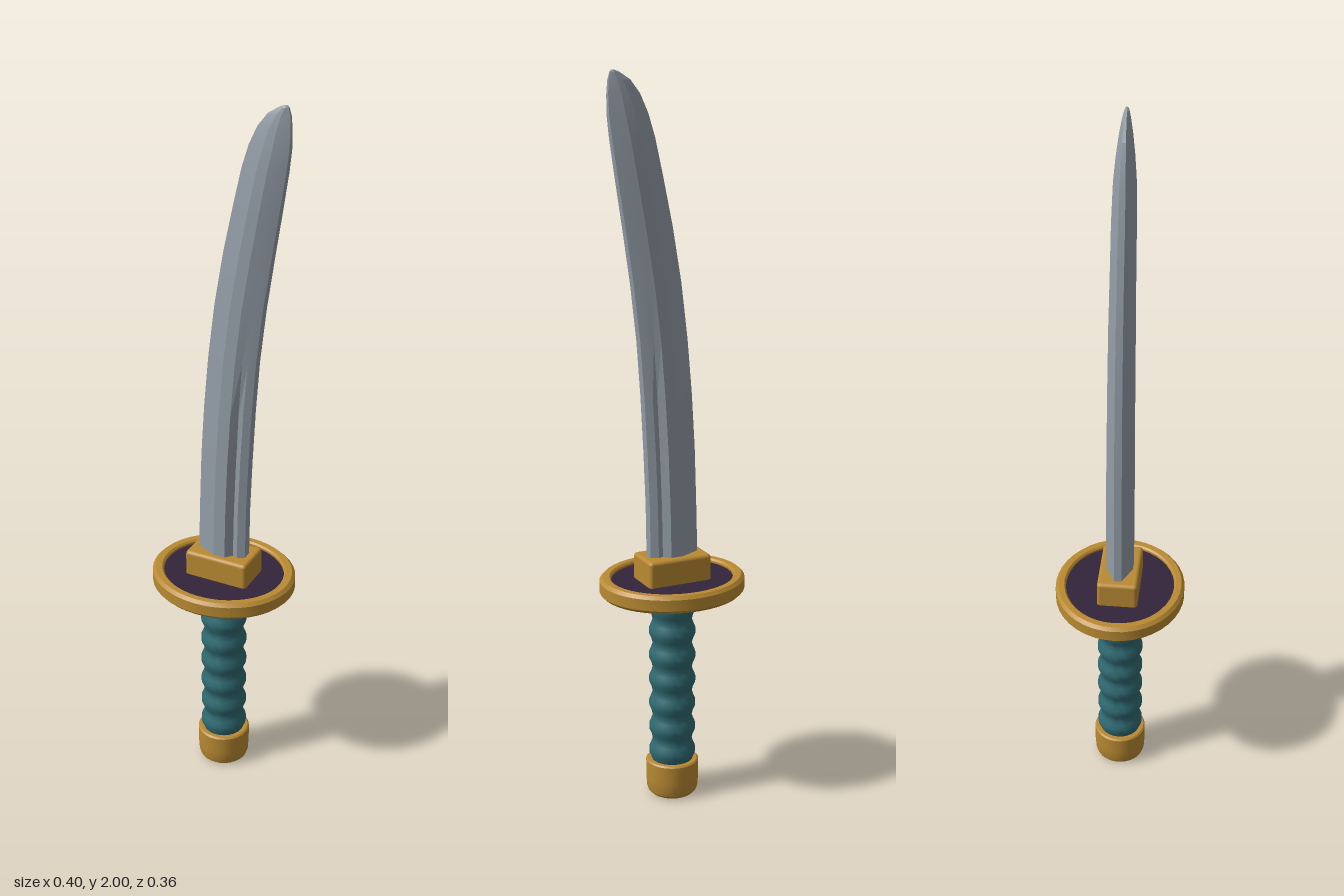
import * as THREE from 'three';
import { toCreasedNormals } from 'three/addons/utils/BufferGeometryUtils.js';
import { RoundedBoxGeometry } from 'three/addons/geometries/RoundedBoxGeometry.js';

const material = (name, color) => {
  const m = new THREE.MeshStandardMaterial({ color });
  m.name = name;
  return m;
};

// Turned part from [radius, height] pairs, listed bottom to top on the outside
function turned(profile, depthScale = 1, crease = 0.5) {
  const g = new THREE.LatheGeometry(profile.map(([r, y]) => new THREE.Vector2(r, y)), 40);
  g.scale(1, 1, depthScale);
  return toCreasedNormals(g, crease);
}

// Curved blade: faceted cross-sections [height, edge x, spine x, half thickness]
function bladeGeometry() {
  const stations = [
    [0.66, -0.072, 0.07, 0.037], [0.85, -0.067, 0.073, 0.037], [1.0, -0.062, 0.079, 0.037],
    [1.15, -0.053, 0.087, 0.036], [1.3, -0.04, 0.098, 0.035], [1.45, -0.022, 0.115, 0.034],
    [1.6, 0.003, 0.137, 0.032], [1.73, 0.03, 0.157, 0.031], [1.83, 0.052, 0.172, 0.028],
    [1.89, 0.07, 0.179, 0.023], [1.94, 0.092, 0.18, 0.017], [1.975, 0.118, 0.178, 0.011],
    [1.995, 0.148, 0.173, 0.006], [2.0, 0.16, 0.169, 0.003],
  ];
  const rings = stations.map(([y, x0, x1, t]) => {
    // The fuller near the spine fades out part way up
    const groove = 0.3 * THREE.MathUtils.clamp((1.36 - y) / 0.3, 0, 1);
    const half = [[0, 0.28], [0.4, 1], [0.64, 1], [0.76, 0.8 - groove], [0.86, 0.63], [1, 0.36]];
    const front = half.map(([u, w]) => new THREE.Vector3(x0 + u * (x1 - x0), y, w * t));
    const back = front.map((p) => new THREE.Vector3(p.x, y, -p.z)).reverse();
    return [...front, ...back];
  });
  const pos = [];
  const tri = (...pts) => pts.forEach((p) => pos.push(p.x, p.y, p.z));
  const n = rings[0].length;
  for (let s = 0; s < rings.length - 1; s++) {
    for (let i = 0; i < n; i++) {
      const j = (i + 1) % n, a = rings[s], b = rings[s + 1];
      tri(a[i], a[j], b[j]);
      tri(a[i], b[j], b[i]);
    }
  }
  const tip = rings[rings.length - 1];
  for (let i = 1; i < n - 1; i++) tri(tip[0], tip[i], tip[i + 1]);
  const g = new THREE.BufferGeometry();
  g.setAttribute('position', new THREE.Float32BufferAttribute(pos, 3));
  return toCreasedNormals(g, 0.2);
}

export function createModel() {
  const group = new THREE.Group();
  group.name = 'sword';
  const steel = material('steel', 0x929ca6);
  const gold = material('gold', 0xb98a32);
  const teal = material('teal', 0x2f6a72);
  const plum = material('plum', 0x33243a);

  const add = (name, geometry, mat) => {
    const mesh = new THREE.Mesh(geometry, mat);
    mesh.name = name;
    group.add(mesh);
    return mesh;
  };

  add('blade', bladeGeometry(), steel);

  // Block that holds the blade
  add('collar', new RoundedBoxGeometry(0.184, 0.09, 0.112, 2, 0.01), gold).position.y = 0.66;

  // Oval guard: raised rim around a sunken plate
  const guardDepth = 0.89;
  add('guardRim', turned([
    [0.17, 0.6], [0.175, 0.595], [0.193, 0.595], [0.202, 0.604], [0.202, 0.635],
    [0.193, 0.644], [0.175, 0.644], [0.17, 0.639], [0.17, 0.6],
  ], guardDepth), gold);
  add('guardPlate', turned([[0, 0.605], [0.172, 0.605], [0.172, 0.633], [0, 0.633]], guardDepth), plum);

  add('gripRing', turned([[0, 0.584], [0.062, 0.584], [0.067, 0.589], [0.067, 0.608], [0, 0.608]]), gold);

  // Grip with evenly spaced bulging wraps
  const ribs = 7, bottom = 0.09, top = 0.587, step = (top - bottom) / ribs;
  const grip = [[0, bottom]];
  for (let i = 0; i < ribs; i++) {
    const y = bottom + i * step;
    grip.push([0.054, y], [0.058, y + step * 0.22], [0.064, y + step * 0.42],
      [0.064, y + step * 0.62], [0.058, y + step * 0.82]);
  }
  grip.push([0.054, top], [0, top]);
  add('grip', turned(grip, 1, 0.6), teal);

  add('pommel', turned([
    [0, 0], [0.058, 0], [0.067, 0.008], [0.071, 0.02], [0.073, 0.05],
    [0.073, 0.098], [0.069, 0.102], [0, 0.102],
  ], 1, 0.45), gold);

  return group;
}
